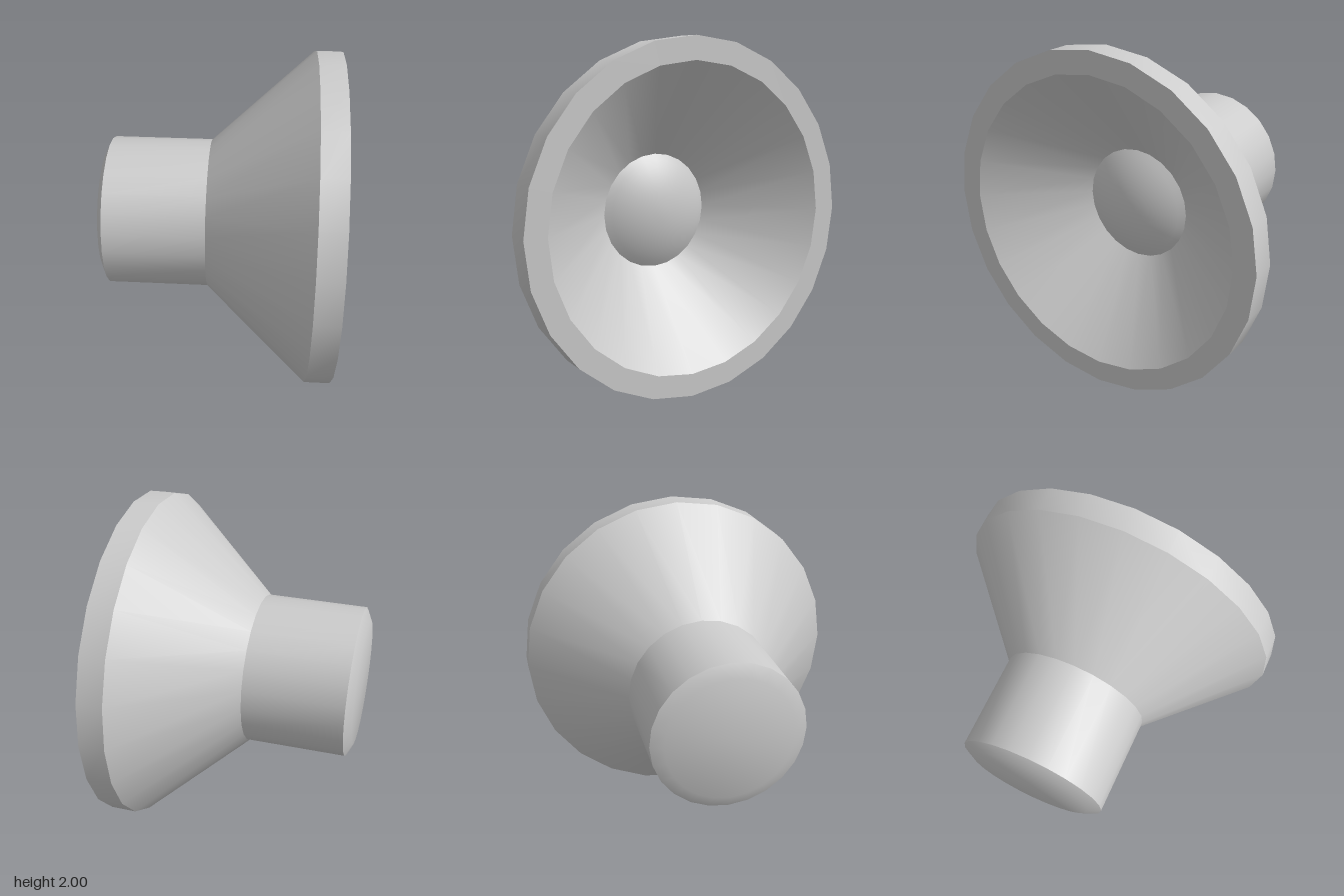
import * as THREE from 'three';
import { toCreasedNormals } from 'three/addons/utils/BufferGeometryUtils.js';

const SIDES = 24;

// Revolves [x, radius] pairs around the horizontal x axis.
function revolve(name, profile, material) {
  const points = profile.map(([x, r]) => new THREE.Vector2(r, x));
  const lathe = new THREE.LatheGeometry(points, SIDES);
  lathe.rotateZ(-Math.PI / 2);
  const mesh = new THREE.Mesh(toCreasedNormals(lathe, 0.6), material);
  mesh.name = name;
  mesh.position.y = 1;
  return mesh;
}

export function createModel() {
  const group = new THREE.Group();
  group.name = 'speakerDriver';
  const grey = new THREE.MeshStandardMaterial({ color: 0xcccccc });

  // Magnet: closed cylinder with a shallow bevel on the back
  group.add(revolve('magnet', [
    [-0.69, 0], [-0.69, 0.375], [-0.655, 0.45], [-0.06, 0.45],
  ], grey));

  // Basket: flared outer shell and straight rim
  group.add(revolve('basket', [
    [-0.06, 0.45], [0.54, 1], [0.69, 1], [0.69, 0.87],
  ], grey));

  // Cone: sloping inner surface
  group.add(revolve('cone', [[0.69, 0.87], [0.27, 0.335]], grey));

  // Dust cap: shallow spherical dome in the middle of the cone
  const edge = 0.335, height = 0.1, steps = 8;
  const radius = (edge * edge + height * height) / (2 * height);
  const sweep = Math.asin(edge / radius);
  const dome = [];
  for (let i = 0; i <= steps; i++) {
    const a = sweep * (1 - i / steps);
    dome.push([0.27 + height - radius * (1 - Math.cos(a)), radius * Math.sin(a)]);
  }
  group.add(revolve('dustCap', dome, grey));

  return group;
}
